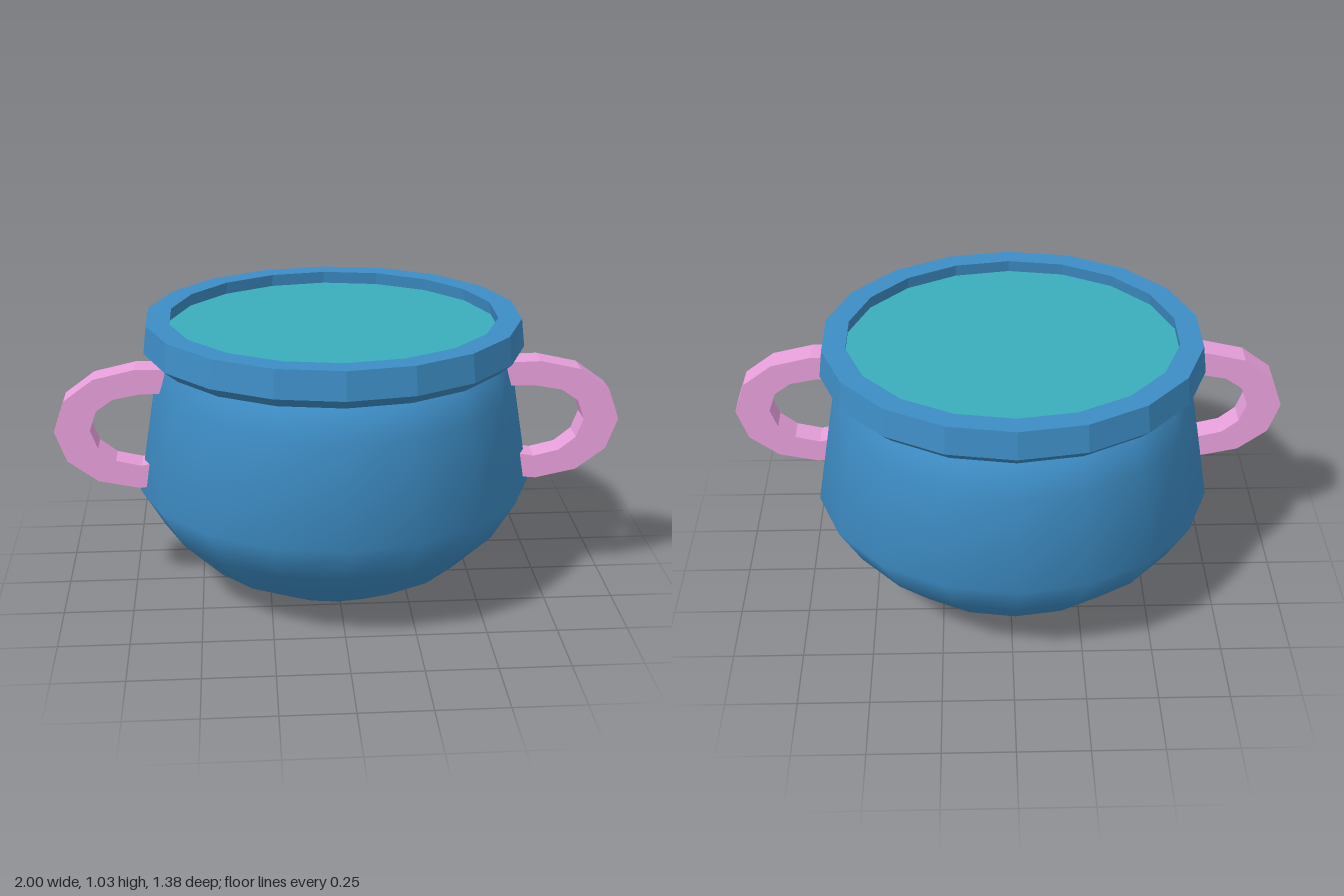
import * as THREE from 'three';

const SIDES = 18;

// Surface through oval rings given as [y, radiusX, radiusZ], outside facing out when rising
function rings(rows) {
  const pos = [], index = [];
  for (const [y, rx, rz] of rows) {
    for (let i = 0; i < SIDES; i++) {
      const a = (i / SIDES) * Math.PI * 2;
      pos.push(Math.sin(a) * rx - 0.01, y, Math.cos(a) * rz);
    }
  }
  for (let j = 0; j < rows.length - 1; j++) {
    for (let i = 0; i < SIDES; i++) {
      const n = (i + 1) % SIDES;
      const a = j * SIDES + i, b = j * SIDES + n;
      index.push(a, b, b + SIDES, a, b + SIDES, a + SIDES);
    }
  }
  const geo = new THREE.BufferGeometry();
  geo.setAttribute('position', new THREE.Float32BufferAttribute(pos, 3));
  geo.setIndex(index);
  geo.computeVertexNormals();
  return geo;
}

function part(name, geometry, color, flatShading) {
  const material = new THREE.MeshStandardMaterial({ color, flatShading, side: THREE.DoubleSide });
  const mesh = new THREE.Mesh(geometry, material);
  mesh.name = name;
  return mesh;
}

export function createModel() {
  const group = new THREE.Group();
  group.name = 'cauldron';
  const blue = 0x3d8cc4;

  // Rounded belly, flatter at the handle sides towards the top
  group.add(part('body', rings([
    [0, 0.001, 0.001], [0.005, 0.275, 0.24], [0.12, 0.48, 0.445], [0.275, 0.63, 0.6],
    [0.42, 0.713, 0.685], [0.8, 0.648, 0.69], [0.9, 0.625, 0.605],
  ]), blue, false));

  // Faceted collar with a flat lip
  group.add(part('rim', rings([
    [0.89, 0.63, 0.605], [0.93, 0.68, 0.645], [1.03, 0.668, 0.635],
    [1.03, 0.585, 0.555], [0.96, 0.595, 0.565],
  ]), blue, true));

  // Brew filling the pot to just under the lip
  group.add(part('liquid', rings([[0.985, 0.6, 0.57], [0.985, 0.001, 0.001]]), 0x3aadbb, true));

  // C-shaped handles, ends sunk into the body
  const outline = [
    [0.56, 0.89], [0.71, 0.893], [0.855, 0.86], [0.96, 0.783], [1, 0.67], [0.96, 0.558],
    [0.855, 0.48], [0.71, 0.45], [0.6, 0.462],
    [0.6, 0.553], [0.7, 0.535], [0.79, 0.556], [0.85, 0.604], [0.875, 0.672], [0.85, 0.743],
    [0.79, 0.785], [0.7, 0.802], [0.56, 0.805],
  ];
  for (const [name, side] of [['leftHandle', 1], ['rightHandle', -1]]) {
    const shape = new THREE.Shape(outline.map(([x, y]) => new THREE.Vector2(x * side, y)));
    const geo = new THREE.ExtrudeGeometry(shape, { depth: 0.095, bevelEnabled: false });
    geo.translate(0, 0, 0.08);
    group.add(part(name, geo, 0xe8a0dc, true));
  }
  return group;
}
